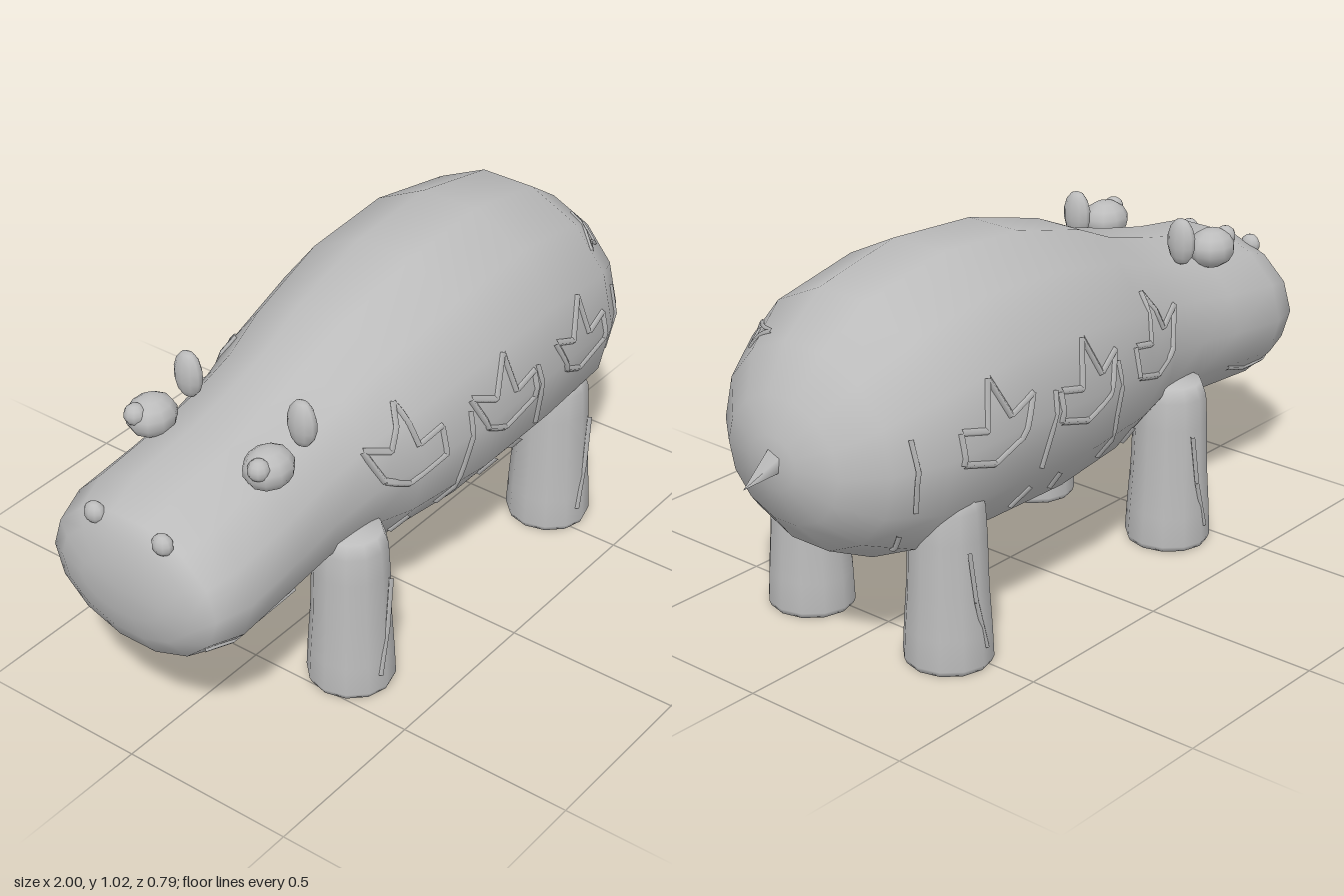
import * as THREE from 'three';
import { mergeGeometries } from 'three/addons/utils/BufferGeometryUtils.js';

// body sections along x: [x, bottom, top, half width]
const RINGS = [
  [-1.0, 0.46, 0.60, 0.13], [-0.98, 0.39, 0.68, 0.21], [-0.95, 0.335, 0.715, 0.265],
  [-0.85, 0.30, 0.76, 0.295], [-0.65, 0.31, 0.79, 0.29], [-0.5, 0.31, 0.825, 0.285],
  [-0.35, 0.31, 0.865, 0.30], [-0.2, 0.26, 0.93, 0.335], [0.07, 0.243, 1.0, 0.38],
  [0.36, 0.25, 1.02, 0.385], [0.64, 0.27, 0.965, 0.365], [0.78, 0.335, 0.87, 0.29],
  [0.865, 0.43, 0.76, 0.19], [0.9, 0.53, 0.67, 0.08],
];
const SIDES = 14;
const STEP = (Math.PI * 2) / SIDES;
const CAP = Math.cos(STEP / 2);

// point of the section polygon: unit y and z
const corner = (j) => [Math.cos((j + 0.5) * STEP) / CAP, Math.sin((j + 0.5) * STEP)];

function bodyGeometry() {
  const pos = [], idx = [], n = RINGS.length;
  for (const [x, lo, hi, w] of RINGS) {
    for (let j = 0; j < SIDES; j++) {
      const [cy, cz] = corner(j);
      pos.push(x, (lo + hi) / 2 + cy * (hi - lo) / 2, cz * w);
    }
  }
  pos.push(-1.0, 0.53, 0, 0.905, 0.6, 0);
  for (let j = 0; j < SIDES; j++) {
    const k = (j + 1) % SIDES, last = (n - 1) * SIDES;
    for (let i = 0; i < n - 1; i++) {
      const a = i * SIDES + j, b = i * SIDES + k;
      idx.push(a, b, a + SIDES, b, b + SIDES, a + SIDES);
    }
    idx.push(n * SIDES, k, j, n * SIDES + 1, last + j, last + k);
  }
  const g = new THREE.BufferGeometry();
  g.setAttribute('position', new THREE.Float32BufferAttribute(pos, 3));
  g.setIndex(idx);
  g.computeVertexNormals();
  return g;
}

// half width of the body at a given x and height
function bodyZ(x, y) {
  let i = 0;
  while (i < RINGS.length - 2 && RINGS[i + 1][0] < x) i++;
  const p = RINGS[i], q = RINGS[i + 1], t = (x - p[0]) / (q[0] - p[0]);
  const [lo, hi, w] = [1, 2, 3].map((k) => p[k] + (q[k] - p[k]) * t);
  const v = (2 * y - lo - hi) / (hi - lo);
  for (let j = 0; j < SIDES / 2 - 1; j++) {
    const [y0, z0] = corner(j), [y1, z1] = corner(j + 1);
    if (v <= y0 && v >= y1) return w * (z0 + (z1 - z0) * (v - y0) / (y1 - y0));
  }
  return 0;
}

// thin raised line following a surface depth
function lineGeometry(points, side, depth, radius = 0.009, closed = false) {
  const parts = [], list = closed ? [...points, points[0]] : points;
  const at = (x, y) => new THREE.Vector3(x, y, side * depth(x, y));
  for (let i = 0; i < list.length - 1; i++) {
    const [ax, ay] = list[i], [bx, by] = list[i + 1], path = [];
    for (let k = 0; k <= 4; k++) path.push(at(ax + (bx - ax) * k / 4, ay + (by - ay) * k / 4));
    parts.push(new THREE.TubeGeometry(new THREE.CatmullRomCurve3(path), 4, radius, 4));
  }
  return mergeGeometries(parts);
}

const LEAF = [[-0.375, 0.71], [-0.29, 0.675], [-0.235, 0.785], [-0.205, 0.66],
  [-0.12, 0.68], [-0.12, 0.598], [-0.24, 0.56], [-0.325, 0.605]];
const CREASES = [
  [[-0.02, 0.68], [-0.03, 0.52], [-0.05, 0.37]], [[0.26, 0.69], [0.29, 0.48]],
  [[-0.19, 0.415], [-0.205, 0.35]], [[0.165, 0.415], [0.15, 0.35]],
  [[0.285, 0.415], [0.31, 0.35]], [[0.725, 0.69], [0.72, 0.58], [0.71, 0.49]],
  [[0.71, 0.41], [0.69, 0.35]],
];
const MOUTH = [[-0.93, 0.40], [-0.78, 0.39], [-0.645, 0.44]];
const LEG_LINE = [[0.035, 0.345], [0.015, 0.2], [-0.02, 0.06]];
const LEG_PROFILE = [[0, 0], [0.112, 0], [0.118, 0.015], [0.114, 0.1], [0.106, 0.22],
  [0.102, 0.36], [0.097, 0.44], [0.083, 0.48], [0, 0.485]];

export function createModel() {
  const model = new THREE.Group();
  model.name = 'hippo';
  const grey = new THREE.MeshStandardMaterial({ color: 0xbcbcbc });
  grey.name = 'grey';

  const add = (name, geometry, x = 0, y = 0, z = 0) => {
    const mesh = new THREE.Mesh(geometry, grey);
    mesh.name = name;
    mesh.position.set(x, y, z);
    model.add(mesh);
    return mesh;
  };
  const blob = (name, x, y, z, rx, ry, rz) =>
    add(name, new THREE.SphereGeometry(1, 10, 7), x, y, z).scale.set(rx, ry, rz);

  add('body', bodyGeometry());

  // tail
  const tail = add('tail', new THREE.ConeGeometry(0.036, 0.12, 5), 0.945, 0.583, 0);
  tail.rotation.z = -Math.PI / 2 - 0.36;

  for (const s of [1, -1]) {
    // face
    blob('eye', -0.65, 0.785, s * 0.19, 0.072, 0.056, 0.064);
    blob('pupil', -0.70, 0.808, s * 0.2, 0.03, 0.03, 0.03);
    blob('ear', -0.512, 0.838, s * 0.185, 0.029, 0.068, 0.044);
    blob('nostril', -0.957, 0.695, s * 0.11, 0.024, 0.03, 0.03);
    add('mouth', lineGeometry(MOUTH, s, bodyZ));

    // legs with a crease on the outer face
    for (const [name, x] of [['frontLeg', -0.398], ['hindLeg', 0.537]]) {
      const leg = new THREE.LatheGeometry(LEG_PROFILE.map(([r, y]) => new THREE.Vector2(r, y)), 12);
      add(name, leg, x, 0, s * 0.246).scale.z = 1.03;
      const depth = (px, py) => 0.246 + 0.116 - 0.03 * py;
      add(name + 'Crease', lineGeometry(LEG_LINE, s, depth, 0.008), x);
    }

    // leaf outlines and skin creases on the flanks
    for (let i = 0; i < 3; i++) {
      const leaf = LEAF.map(([x, y]) => [x + i * 0.361, y]);
      add('leafOutline', lineGeometry(leaf, s, bodyZ, 0.01, true));
    }
    CREASES.forEach((c) => add('skinCrease', lineGeometry(c, s, bodyZ)));
  }

  // small mark on one hip
  add('hipMark', lineGeometry([[0.645, 0.825], [0.74, 0.86], [0.735, 0.795], [0.69, 0.825]], 1, bodyZ, 0.007, true));
  return model;
}
